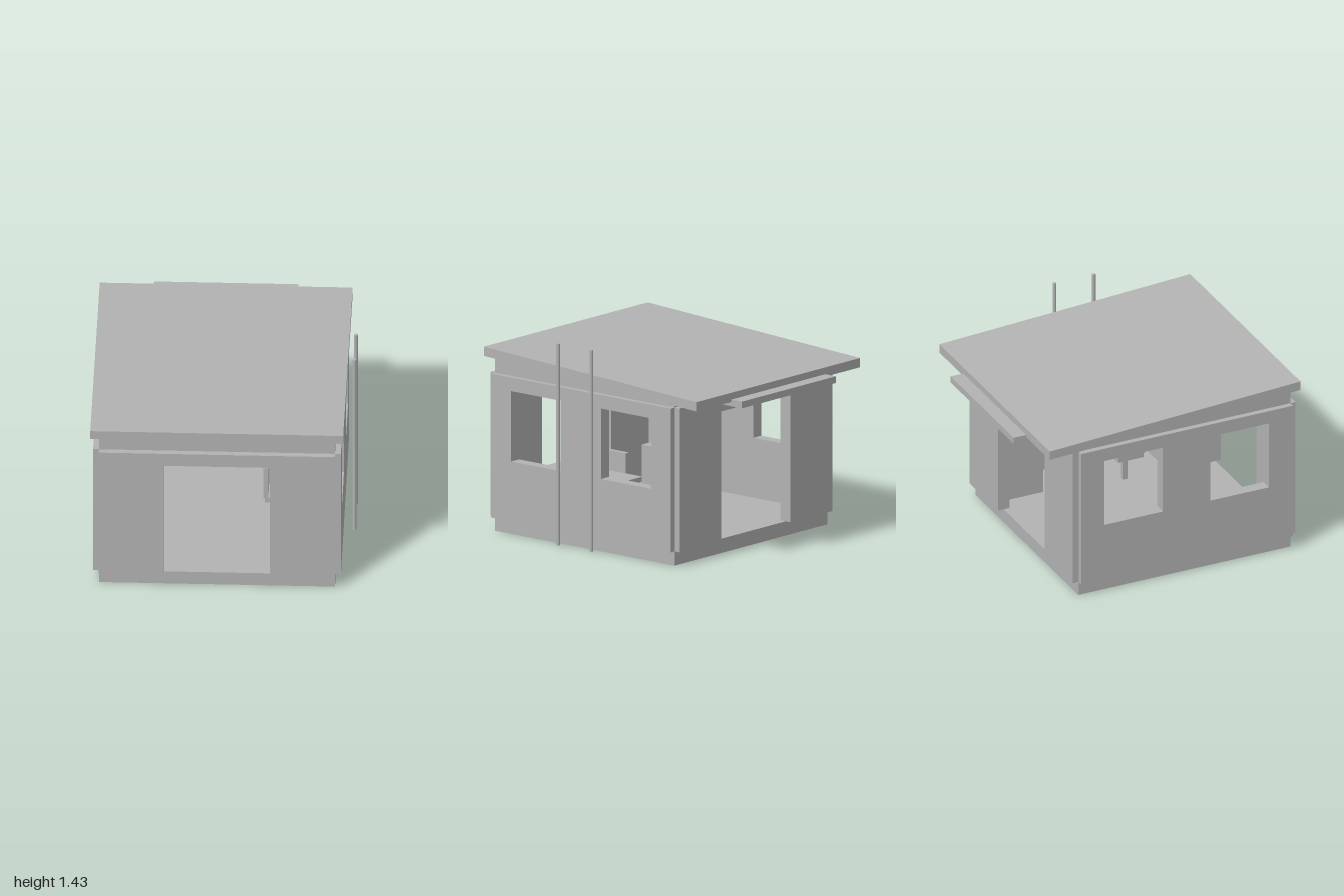
import * as THREE from 'three';

const X0 = -0.84, X1 = 0.775;   // cabin width
const Z0 = -0.66, Z1 = 0.95;    // cabin depth
const FLOOR = 0.1, CORE = 0.045, PANEL = 0.04;
const PANEL_TOP = 1.11;

export function createModel() {
  const model = new THREE.Group();
  const grey = new THREE.MeshStandardMaterial({ color: 0xb3b3b3 });
  grey.name = 'plain grey';

  function add(name, geometry, parent = model) {
    const mesh = new THREE.Mesh(geometry, grey);
    mesh.name = name;
    parent.add(mesh);
    return mesh;
  }

  // Box given by its lower and upper corners
  function box(name, x0, x1, y0, y1, z0, z1, parent) {
    const mesh = add(name, new THREE.BoxGeometry(x1 - x0, y1 - y0, z1 - z0), parent);
    mesh.position.set((x0 + x1) / 2, (y0 + y1) / 2, (z0 + z1) / 2);
    return mesh;
  }

  const outline = (points) => new THREE.Shape(points.map(([u, v]) => new THREE.Vector2(u, v)));
  const extrude = (shape, depth) => new THREE.ExtrudeGeometry(shape, { depth, bevelEnabled: false });

  // Wall in the x-y plane with a doorway open down to the floor
  function doorWall(name, top, z0, depth) {
    const shape = outline([
      [X0, FLOOR], [-0.4, FLOOR], [-0.4, 1.01], [0.33, 1.01], [0.33, FLOOR],
      [X1, FLOOR], [X1, top], [X0, top],
    ]);
    add(name, extrude(shape, depth)).position.z = z0;
  }

  // Wall in the z-y plane with two windows; its outline may slope to the back
  function windowWall(name, zBack, zFront, topBack, topFront, x0, depth) {
    const shape = outline([[zBack, FLOOR], [zFront, FLOOR], [zFront, topFront], [zBack, topBack]]);
    for (const [a, b] of [[-0.485, -0.035], [0.325, 0.77]]) {
      const hole = outline([[a, 0.52], [a, 1.015], [b, 1.015], [b, 0.52]]);
      shape.holes.push(hole);
    }
    add(name, extrude(shape, depth).rotateY(-Math.PI / 2)).position.x = x0 + depth;
  }

  // Floor slab
  box('floorSlab', X0, X1, 0, FLOOR, Z0, Z1);

  // Inner walls, falling in height towards the back
  const slope = (z) => 1.12 + (z - Z0) * (1.225 - 1.12) / (Z1 - Z0);
  doorWall('frontInnerWall', 1.225, Z1 - CORE, CORE);
  doorWall('backInnerWall', 1.12, Z0, CORE);
  for (const [side, x] of [['left', X1 - CORE], ['right', X0]]) {
    const a = Z0 + CORE, b = Z1 - CORE;
    windowWall(side + 'InnerWall', a, b, slope(a), slope(b), x, CORE);
  }

  // Outer cladding panels, leaving open notches at the corners
  doorWall('frontPanel', PANEL_TOP, Z1, PANEL);
  doorWall('backPanel', PANEL_TOP, Z0 - PANEL - 0.005, PANEL + 0.005);
  windowWall('leftPanel', Z0, Z1, PANEL_TOP, PANEL_TOP, X1, PANEL);
  windowWall('rightPanel', Z0, Z1, PANEL_TOP, PANEL_TOP, X0 - PANEL, PANEL);

  // Sloping roof and the canopy over the back door
  const roof = outline([[-0.905, 1.13], [1, 1.23], [1, 1.295], [-0.905, 1.195]]);
  add('roof', extrude(roof, 1.73).rotateY(-Math.PI / 2)).position.x = 0.832;
  box('backCanopy', -0.53, 0.46, 1.1, 1.147, -1, Z0);

  // Two free-standing poles
  for (const z of [-0.007, 0.29]) {
    add('pole', new THREE.CylinderGeometry(0.013, 0.013, 1.415, 12)).position.set(0.885, 0.7275, z);
  }

  // Cabinet in the back corner
  box('cabinet', 0.44, 0.71, FLOOR, 0.785, -0.61, -0.31);

  // Desk with panel legs
  const desk = new THREE.Group();
  desk.name = 'desk';
  model.add(desk);
  box('deskTop', 0.43, 0.73, 0.44, 0.475, -0.08, 0.64, desk);
  for (const z of [-0.07, 0.595]) box('deskLeg', 0.45, 0.73, FLOOR, 0.44, z, z + 0.035, desk);

  // Screen on its stand
  const screen = new THREE.Group();
  screen.name = 'screen';
  model.add(screen);
  box('screenPanel', 0.53, 0.555, 0.52, 0.675, 0.15, 0.41, screen);
  box('screenPost', 0.555, 0.58, 0.475, 0.6, 0.265, 0.295, screen);
  box('screenFoot', 0.52, 0.61, 0.475, 0.485, 0.23, 0.33, screen);

  // Chair facing the desk
  const chair = new THREE.Group();
  chair.name = 'chair';
  model.add(chair);
  box('chairSeat', 0.275, 0.48, 0.29, 0.33, 0.18, 0.38, chair);
  box('chairBack', 0.265, 0.3, 0.325, 0.575, 0.18, 0.38, chair);
  box('chairPost', 0.36, 0.4, FLOOR, 0.29, 0.26, 0.3, chair);

  return model;
}
